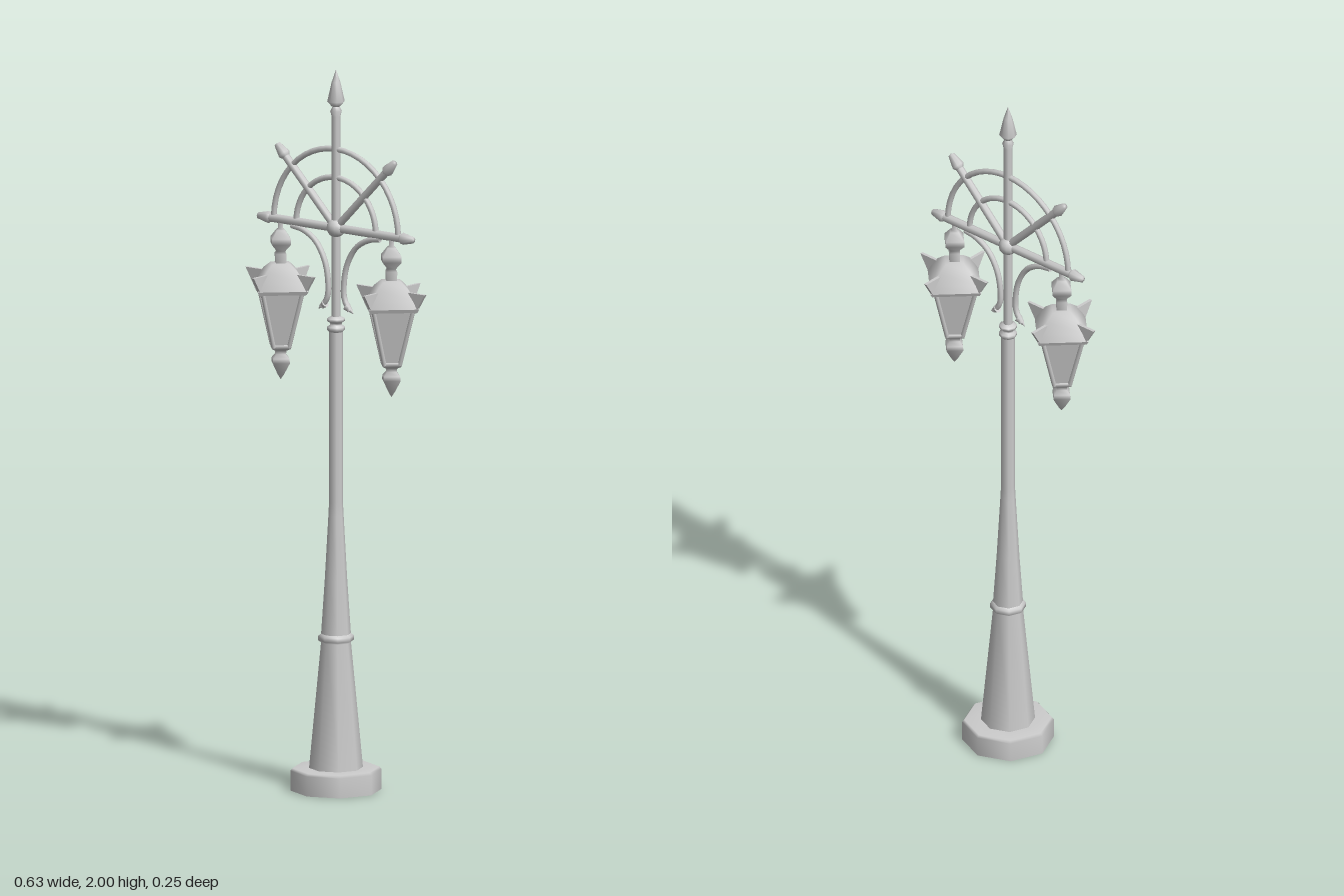
import * as THREE from 'three';

const metal = new THREE.MeshStandardMaterial({ color: 0xcccccc, side: THREE.DoubleSide });
const flatMetal = new THREE.MeshStandardMaterial({ color: 0xcccccc, side: THREE.DoubleSide, flatShading: true });
const HUB_Y = 1.56;

function add(parent, name, geometry, material = metal) {
  const mesh = new THREE.Mesh(geometry, material);
  mesh.name = name;
  parent.add(mesh);
  return mesh;
}

// Turned part from [radius, height] pairs, listed from bottom to top
function turned(parent, name, profile, sides, material) {
  const points = profile.map(([r, y]) => new THREE.Vector2(r, y));
  return add(parent, name, new THREE.LatheGeometry(points, sides), material);
}

// Bent rod through [x, y] points in the plane z = 0
function rod(parent, name, points, radius, segments = 20) {
  const curve = new THREE.CatmullRomCurve3(points.map(([x, y]) => new THREE.Vector3(x, y, 0)));
  return add(parent, name, new THREE.TubeGeometry(curve, segments, radius, 8));
}

// Spoke with a spear tip, growing along +y from the hub
function makeSpoke(length, radius) {
  const spoke = new THREE.Group();
  spoke.name = 'spoke';
  turned(spoke, 'spokeRod', [[radius, 0], [radius, length - 0.045]], 8);
  turned(spoke, 'spokeTip', [[0, length - 0.052], [0.009, length - 0.05], [0.017, length - 0.038],
    [0.009, length - 0.003], [0, length]], 8);
  return spoke;
}

// Four-sided hanging lantern with its corners on the axes
function makeLantern() {
  const lantern = new THREE.Group();
  lantern.name = 'lantern';

  turned(lantern, 'hangerKnob', [[0.02, 1.43], [0.021, 1.465], [0.016, 1.472], [0.036, 1.492],
    [0.036, 1.508], [0.016, 1.53], [0.009, 1.535], [0.009, 1.56]], 4);
  turned(lantern, 'roof', [[0.098, 1.37], [0.085, 1.39], [0.06, 1.42], [0.035, 1.438], [0, 1.442]], 4);
  turned(lantern, 'roofRim', [[0, 1.36], [0.092, 1.36], [0.098, 1.37]], 4, flatMetal);
  turned(lantern, 'glass', [[0.027, 1.205], [0.074, 1.362]], 4, flatMetal);
  turned(lantern, 'bottomFinial', [[0, 1.115], [0.012, 1.13], [0.033, 1.163], [0.031, 1.175],
    [0.019, 1.186], [0.021, 1.197], [0.036, 1.203], [0.036, 1.213], [0, 1.215]], 4);

  // Corner bars and pointed roof ornaments
  const fin = new THREE.Shape([new THREE.Vector2(0.06, 1.413), new THREE.Vector2(0.086, 1.358),
    new THREE.Vector2(0.12, 1.413)]);
  const finGeometry = new THREE.ExtrudeGeometry(fin, { depth: 0.009, bevelEnabled: false });
  finGeometry.translate(0, 0, -0.0045);
  for (let i = 0; i < 4; i++) {
    const corner = new THREE.Group();
    corner.name = 'lanternCorner';
    corner.rotation.y = i * Math.PI / 2;
    add(corner, 'roofFin', finGeometry);
    rod(corner, 'cornerBar', [[0.03, 1.207], [0.077, 1.364]], 0.006, 1);
    lantern.add(corner);
  }
  return lantern;
}

export function createModel() {
  const model = new THREE.Group();
  model.name = 'streetLamp';

  // Eight-sided post, open underneath
  turned(model, 'basePlinth', [[0.125, 0], [0.125, 0.055], [0.119, 0.062], [0.07, 0.062]], 8);
  turned(model, 'lowerPost', [[0.074, 0.06], [0.041, 0.41], [0.049, 0.416], [0.049, 0.428], [0.041, 0.434]], 8);
  turned(model, 'upperPost', [[0.041, 0.432], [0.031, 0.58], [0.021, 0.76], [0.019, 0.8], [0.019, 1.275]], 8);
  turned(model, 'postCollar', [[0.019, 1.272], [0.025, 1.278], [0.025, 1.286], [0.017, 1.291],
    [0.017, 1.297], [0.025, 1.302], [0.025, 1.309], [0.013, 1.315]], 8);

  // Central mast and spear finial
  turned(model, 'mast', [[0.012, 1.31], [0.012, 1.87], [0.016, 1.885], [0.01, 1.897]], 8);
  turned(model, 'mastSpear', [[0, 1.897], [0.012, 1.898], [0.024, 1.912], [0.012, 1.965], [0, 2]], 8);

  // Hub with spokes fanning out
  const hub = add(model, 'hub', new THREE.SphereGeometry(0.026, 12, 8));
  hub.position.y = HUB_Y;
  for (const [angle, length, radius] of [[90, 0.275, 0.012], [45, 0.295, 0.011]]) {
    for (const side of [-1, 1]) {
      const spoke = makeSpoke(length, radius);
      spoke.position.y = HUB_Y;
      spoke.rotation.z = side * THREE.MathUtils.degToRad(angle);
      model.add(spoke);
    }
  }

  // Two half-circle arches above the crossbar
  for (const [name, radius, tube] of [['outerArch', 0.219, 0.008], ['innerArch', 0.14, 0.008]]) {
    const arch = add(model, name, new THREE.TorusGeometry(radius, tube, 8, 24, Math.PI));
    arch.position.y = HUB_Y;
  }

  // Mirrored scroll braces and lanterns
  for (const side of [-1, 1]) {
    rod(model, 'scrollBrace', [[0.155, 1.547], [0.115, 1.54], [0.072, 1.515], [0.04, 1.465],
      [0.028, 1.41], [0.03, 1.365], [0.05, 1.335]].map(([x, y]) => [side * x, y]), 0.008);
    const tip = add(model, 'braceTip', new THREE.ConeGeometry(0.012, 0.03, 8));
    tip.position.set(side * 0.05, 1.337, 0);
    tip.rotation.z = side * -2.2;

    const lantern = makeLantern();
    lantern.position.x = side * 0.195;
    model.add(lantern);
  }
  return model;
}
